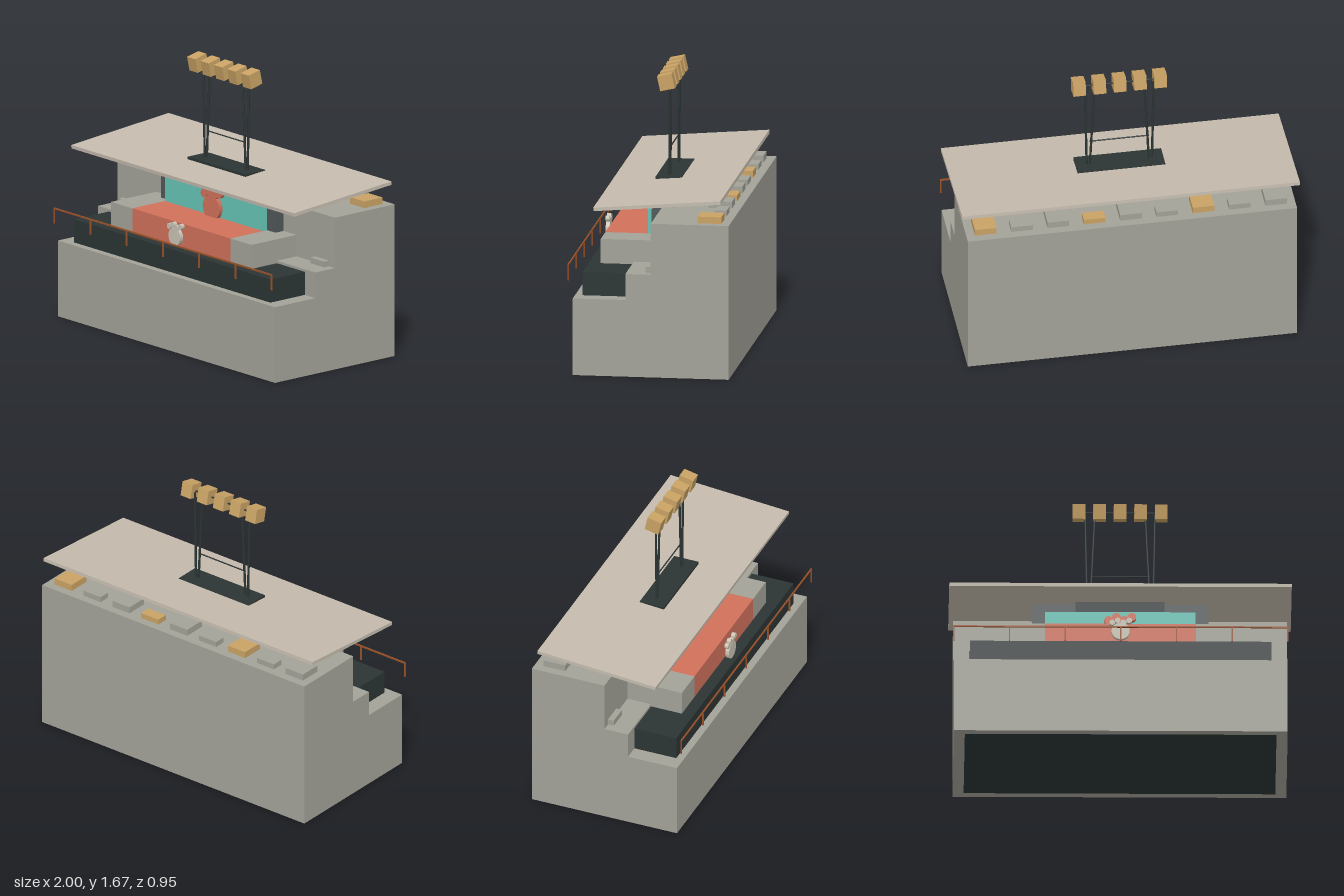
import * as THREE from 'three';

export function createModel() {
  const model = new THREE.Group();
  model.name = 'stageBuilding';

  const mat = (name, color) => {
    const m = new THREE.MeshStandardMaterial({ color });
    m.name = name;
    return m;
  };
  const concrete = mat('concrete', 0xa3a298);
  const roofStone = mat('roofStone', 0xc4bbad);
  const black = mat('black', 0x2b3434);
  const slate = mat('slate', 0x505858);
  const teal = mat('teal', 0x66c3b5);
  const coral = mat('coral', 0xcf705a);
  const gold = mat('gold', 0xc9a264);
  const rust = mat('rust', 0x9a5128);
  const cream = mat('cream', 0xc8c2b2);

  const add = (name, geometry, material, parent = model) => {
    const mesh = new THREE.Mesh(geometry, material);
    mesh.name = name;
    parent.add(mesh);
    return mesh;
  };
  // Box given by its extents on each axis
  const box = (name, material, [x0, x1], [y0, y1], [z0, z1], parent) => {
    const mesh = add(name, new THREE.BoxGeometry(x1 - x0, y1 - y0, z1 - z0), material, parent);
    mesh.position.set((x0 + x1) / 2, (y0 + y1) / 2, (z0 + z1) / 2);
    return mesh;
  };
  // Square or round bar between two points
  const bar = (name, material, a, b, r, parent, sides = 8) => {
    const p = new THREE.Vector3(...a), q = new THREE.Vector3(...b);
    const d = q.clone().sub(p);
    const mesh = add(name, new THREE.CylinderGeometry(r, r, d.length(), sides), material, parent);
    mesh.position.copy(p).add(q).multiplyScalar(0.5);
    mesh.quaternion.setFromUnitVectors(new THREE.Vector3(0, 1, 0), d.normalize());
    return mesh;
  };

  // Stepped concrete body: profile in z and y, swept along x
  const steps = [[0.445, 0.002], [0.445, 0.46], [0.135, 0.46], [0.135, 0.615],
    [-0.015, 0.615], [-0.015, 0.92], [-0.475, 0.92], [-0.475, 0.002]];
  const profile = new THREE.Shape(steps.map(([z, y]) => new THREE.Vector2(z, y)));
  const body = new THREE.ExtrudeGeometry(profile, { depth: 1.95, bevelEnabled: false });
  body.translate(0, 0, -0.975).rotateY(-Math.PI / 2);
  add('steppedBody', body, concrete);
  box('underside', black, [-0.91, 0.91], [0, 0.004], [-0.42, 0.4]);

  // Dark platform and the counter on it
  box('platform', black, [-0.88, 0.88], [0.46, 0.6], [0.13, 0.4]);
  for (const s of [-1, 1]) {
    box('counterEnd', concrete, [s * 0.535 - 0.095, s * 0.535 + 0.095], [0.6, 0.745], [-0.015, 0.33]);
  }
  box('counterMiddle', coral, [-0.44, 0.44], [0.6, 0.745], [-0.015, 0.33]);

  // Back wall, core and coloured panel
  box('backWall', slate, [-0.515, 0.515], [0.61, 1.0], [-0.08, 0.047]);
  box('core', black, [-0.26, 0.26], [0.745, 1.047], [-0.095, 0.06]);
  box('panel', teal, [-0.44, 0.44], [0.745, 0.938], [0.04, 0.078]);

  // Paw emblems: a disc with four small toes
  const paw = (name, material, y, z, depth, r, toeR, spacing, toeYs) => {
    const group = new THREE.Group();
    group.name = name;
    group.position.set(0, y, z);
    const disc = (part, radius, px, py) => {
      const g = new THREE.CylinderGeometry(radius, radius, depth, 24).rotateX(Math.PI / 2);
      add(part, g, material, group).position.set(px, py, 0);
    };
    disc('pad', r, 0, 0);
    toeYs.forEach((ty, i) => disc('toe', toeR, (i - 1.5) * spacing, ty));
    model.add(group);
  };
  paw('panelPaw', coral, 0.8, 0.09, 0.024, 0.075, 0.026, 0.045, [0.075, 0.095, 0.075, 0.095]);
  paw('frontPaw', cream, 0.674, 0.373, 0.024, 0.053, 0.017, 0.033, [0.055, 0.068, 0.055, 0.068]);

  // Tilted roof slab
  const roof = add('roof', new THREE.BoxGeometry(2, 0.021, 0.752), roofStone);
  roof.position.set(0, 1.031, -0.055);
  roof.rotation.x = 0.081;

  // Rooftop frame
  const frame = new THREE.Group();
  frame.name = 'rooftopFrame';
  model.add(frame);
  for (const s of [-1, 1]) {
    bar('outerPost', black, [s * 0.193, 1.03, -0.015], [s * 0.204, 1.61, -0.015], 0.007, frame);
    bar('innerPost', black, [s * 0.175, 1.03, -0.015], [s * 0.147, 1.61, -0.015], 0.007, frame);
  }
  bar('lowerCrossbar', black, [-0.175, 1.21, -0.015], [0.175, 1.21, -0.015], 0.004, frame);
  bar('upperCrossbar', black, [-0.24, 1.613, -0.005], [0.24, 1.613, -0.005], 0.005, frame);

  // Row of tilted sign blocks
  for (let i = -2; i <= 2; i++) {
    const block = add('signBlock', new THREE.BoxGeometry(0.074, 0.088, 0.088), gold, frame);
    block.position.set(i * 0.12, 1.613, -0.003);
    block.rotation.x = 0.22;
  }

  // Roof units along the back edge, every third one gold
  for (let i = 0; i < 9; i++) {
    const x = 0.86 - i * 0.215, large = i % 2 === 0;
    box('roofUnit', i % 3 === 0 ? gold : concrete, [x - 0.064, x + 0.064],
      [0.92, large ? 0.96 : 0.953], [-0.424, large ? -0.285 : -0.354]);
  }
  // Small boxes on the side ledges
  for (const s of [-1, 1]) {
    box('ledgeBox', concrete, [s * 0.86 - 0.062, s * 0.86 + 0.062], [0.615, 0.65], [-0.015, 0.022]);
  }

  // Front railing
  const railing = new THREE.Group();
  railing.name = 'railing';
  model.add(railing);
  box('handrail', rust, [-0.979, 0.979], [0.655, 0.664], [0.468, 0.476], railing);
  for (let i = -3; i <= 3; i++) {
    const x = i * 0.325;
    box('railPost', rust, [x - 0.004, x + 0.004], [0.568, 0.658], [0.468, 0.476], railing);
  }

  return model;
}
